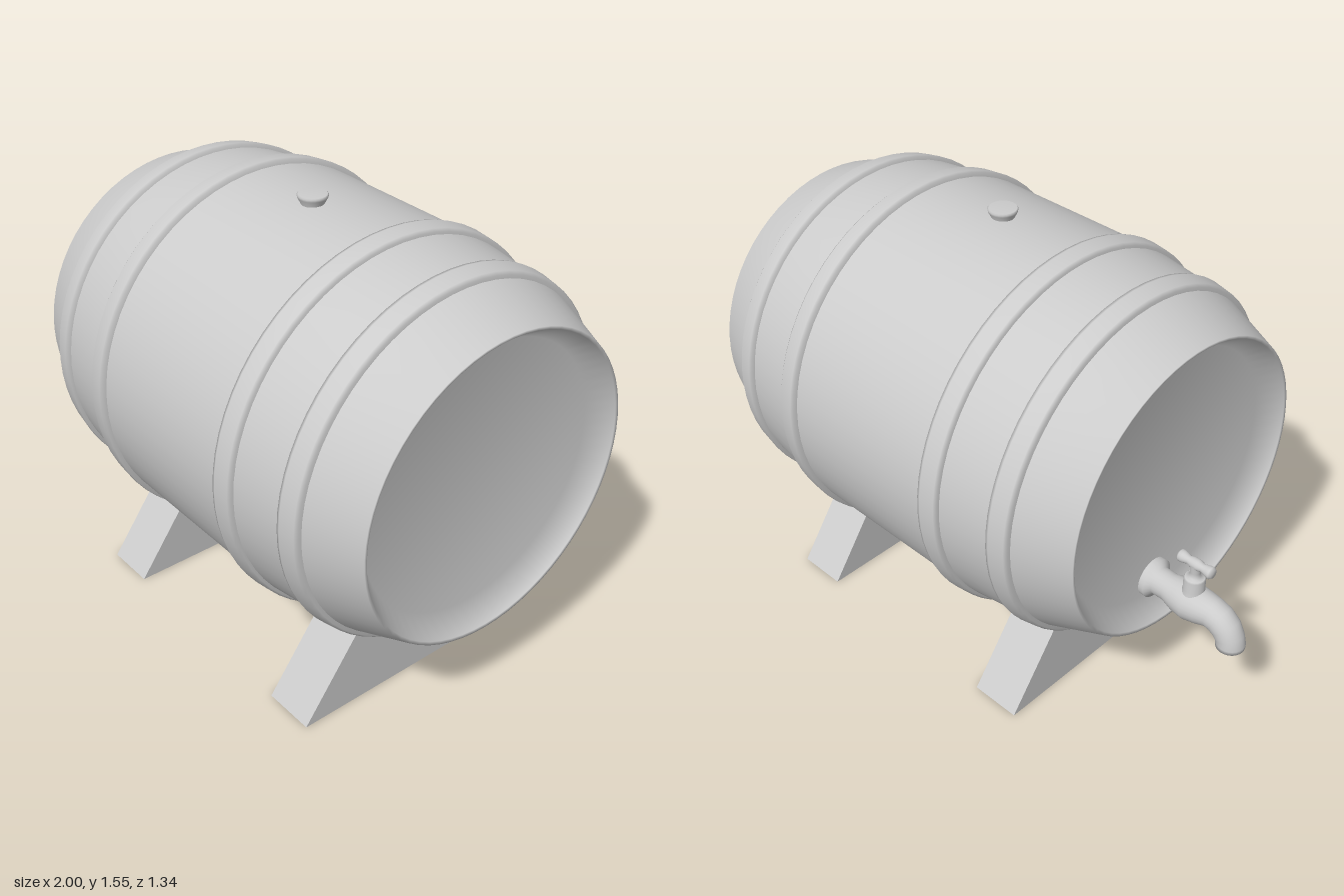
import * as THREE from 'three';

const MID = 0.155;   // middle of the barrel along x
const AXIS = 0.875;  // height of the barrel axis
const TAP_Z = -0.04;

const material = new THREE.MeshStandardMaterial({ color: 0xcccccc });

function addMesh(parent, name, geometry, x = 0, y = 0, z = 0) {
  const mesh = new THREE.Mesh(geometry, material);
  mesh.name = name;
  mesh.position.set(x, y, z);
  parent.add(mesh);
  return mesh;
}

// Lathe from [radius, height] pairs, listed bottom to top on the outside
function lathe(profile, segments) {
  return new THREE.LatheGeometry(profile.map(([r, h]) => new THREE.Vector2(r, h)), segments);
}

// Lathe turned so that its axis runs along +x
const latheX = (profile, segments) => lathe(profile, segments).rotateZ(-Math.PI / 2);

// Round sweep in the xy plane; stations are [x, y, radius, angle], angle 0 heads -x and 90 heads down
function sweep(stations, sides) {
  const positions = [], index = [];
  stations.forEach(([x, y, r, degrees], i) => {
    const a = THREE.MathUtils.degToRad(degrees);
    for (let j = 0; j < sides; j++) {
      const t = (j / sides) * Math.PI * 2;
      const n = r * Math.cos(t);
      positions.push(x - Math.sin(a) * n, y + Math.cos(a) * n, r * Math.sin(t));
      if (i === stations.length - 1) continue;
      const p = i * sides + j, q = i * sides + (j + 1) % sides;
      index.push(p, p + sides, q, q, p + sides, q + sides);
    }
  });
  const geometry = new THREE.BufferGeometry();
  geometry.setAttribute('position', new THREE.Float32BufferAttribute(positions, 3));
  geometry.setIndex(index);
  geometry.computeVertexNormals();
  return geometry;
}

function createBarrel() {
  const barrel = new THREE.Group();
  barrel.name = 'barrel';
  barrel.position.set(MID, AXIS, 0);

  // Half profile from the recessed head, over the lip, to the belly
  const half = [
    [0, -0.765], [0.467, -0.765], [0.522, -0.843], [0.533, -0.845],
    [0.605, -0.655], [0.622, -0.575], [0.645, -0.385], [0.65, -0.305],
  ];
  const mirrored = half.map(([r, h]) => [r, -h]).reverse();
  addMesh(barrel, 'staves', latheX([...half, ...mirrored], 64));

  // Hoops, mirrored about the middle
  const hoops = {
    endHoop: [[0.59, -0.655], [0.617, -0.655], [0.626, -0.645], [0.636, -0.59], [0.634, -0.578], [0.61, -0.575]],
    bellyHoop: [[0.63, -0.385], [0.654, -0.385], [0.662, -0.375], [0.668, -0.32], [0.665, -0.308], [0.64, -0.305]],
  };
  for (const [name, profile] of Object.entries(hoops)) {
    addMesh(barrel, name + 'Right', latheX(profile, 64));
    addMesh(barrel, name + 'Left', latheX(profile.map(([r, h]) => [r, -h]).reverse(), 64));
  }

  // Bung on top
  addMesh(barrel, 'bung', lathe(
    [[0.034, -0.025], [0.038, 0], [0.049, 0.022], [0.051, 0.03], [0.047, 0.034], [0, 0.034]], 24), 0, 0.646, 0.033);
  return barrel;
}

function createStand() {
  const stand = new THREE.Group();
  stand.name = 'stand';

  // Two trapezoid feet, sunk into the barrel at the top
  const width = 0.185;
  const outline = new THREE.Shape([[-0.51, 0], [0.51, 0], [0.257, 0.35], [-0.257, 0.35]]
    .map(([z, y]) => new THREE.Vector2(z, y)));
  const foot = new THREE.ExtrudeGeometry(outline, { depth: width, bevelEnabled: false });
  foot.translate(0, 0, -width / 2).rotateY(Math.PI / 2);
  for (const [name, side] of [['footRight', -1], ['footLeft', 1]]) {
    addMesh(stand, name, foot, MID + side * 0.477);
  }

  // Rod joining the feet
  const rod = new THREE.CylinderGeometry(0.055, 0.055, 0.82, 24).rotateZ(Math.PI / 2);
  addMesh(stand, 'crossRod', rod, MID, 0.105, 0);
  return stand;
}

function createTap() {
  const tap = new THREE.Group();
  tap.name = 'tap';
  tap.position.z = TAP_Z;

  // Flange, bulging body, bent spout and hollow mouth
  addMesh(tap, 'tapBody', sweep([
    [-0.6, 0.475, 0.072, 0], [-0.63, 0.475, 0.072, 0], [-0.645, 0.475, 0.05, 0],
    [-0.69, 0.475, 0.05, 0], [-0.735, 0.473, 0.062, 0], [-0.78, 0.472, 0.067, 0],
    [-0.83, 0.478, 0.061, 0], [-0.87, 0.482, 0.054, 8], [-0.9, 0.474, 0.053, 25],
    [-0.926, 0.455, 0.052, 47], [-0.943, 0.428, 0.05, 70], [-0.95, 0.405, 0.05, 90],
    [-0.95, 0.39, 0.05, 90], [-0.95, 0.39, 0.037, 90], [-0.95, 0.42, 0.034, 90], [-0.95, 0.421, 0, 90],
  ], 24));

  // Collar and stem
  addMesh(tap, 'tapStem', lathe([
    [0.045, 0.51], [0.037, 0.54], [0.037, 0.583], [0.033, 0.588], [0.019, 0.59], [0.018, 0.61], [0.022, 0.645],
  ], 20), -0.785);

  // Handle bar with swollen ends
  const end = [[0, -0.071], [0.016, -0.07], [0.022, -0.062], [0.021, -0.05], [0.015, -0.028], [0.02, -0.01]];
  const bar = [...end, ...end.map(([r, h]) => [r, -h]).reverse()];
  addMesh(tap, 'tapHandle', latheX(bar, 20), -0.785, 0.643);
  return tap;
}

export function createModel() {
  const model = new THREE.Group();
  model.name = 'barrelOnStand';
  model.add(createBarrel(), createStand(), createTap());
  return model;
}
